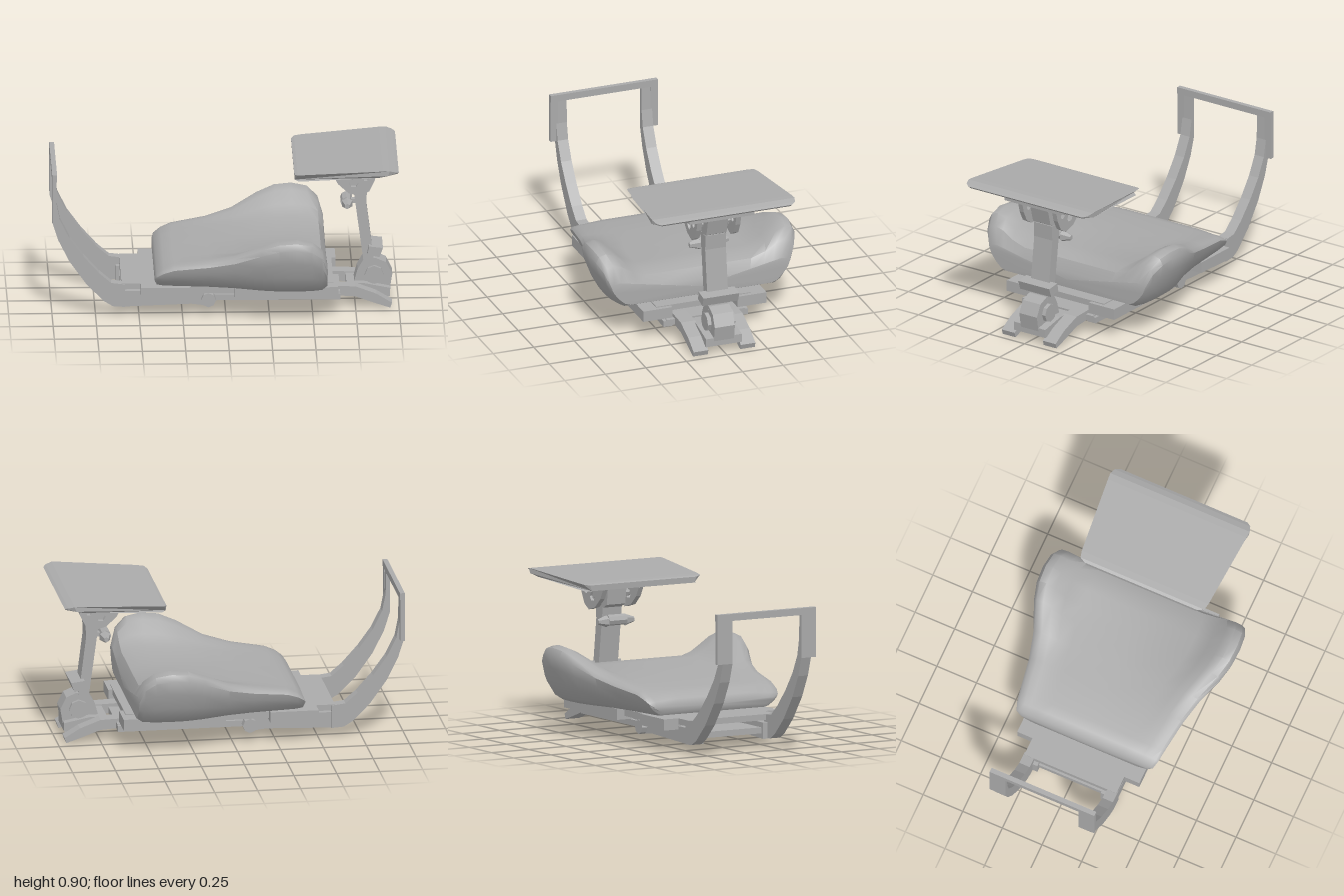
import * as THREE from 'three';
import { toCreasedNormals } from 'three/addons/utils/BufferGeometryUtils.js';

export function createModel() {
  const model = new THREE.Group();
  const grey = new THREE.MeshStandardMaterial({ color: 0xaaaaaa });
  grey.name = 'plain grey';

  const add = (name, geo) => {
    const mesh = new THREE.Mesh(geo, grey);
    mesh.name = name;
    model.add(mesh);
    return mesh;
  };
  // Box given by its limits on each axis
  const box = (name, x0, x1, y0, y1, z0, z1) =>
    add(name, new THREE.BoxGeometry(x1 - x0, y1 - y0, z1 - z0))
      .position.set((x0 + x1) / 2, (y0 + y1) / 2, (z0 + z1) / 2);
  // Side profile (x, y) extruded from z0 to z1
  const slabGeo = (pts, z0, z1, holes = []) => {
    const shape = new THREE.Shape(pts.map(p => new THREE.Vector2(...p)));
    for (const [x, y, r] of holes) shape.holes.push(new THREE.Path().absarc(x, y, r, 0, Math.PI * 2, true));
    return new THREE.ExtrudeGeometry(shape, { depth: z1 - z0, bevelEnabled: false, curveSegments: 3 }).translate(0, 0, z0);
  };
  const slab = (name, pts, z0, z1, holes) => add(name, slabGeo(pts, z0, z1, holes));
  const sides = (make, name, shape, z0, z1, holes) => {
    make('left' + name, ...shape, z0, z1, holes);
    make('right' + name, ...shape, -z1, -z0, holes);
  };
  // Faceted rod along z
  const rod = (name, x, y, r, z0, z1, n = 8) =>
    add(name, toCreasedNormals(new THREE.CylinderGeometry(r, r, z1 - z0, n).rotateX(Math.PI / 2), 0.3))
      .position.set(x, y, (z0 + z1) / 2);

  // Winged cushion: x, half width, bottom, centre height, wing height
  const stations = [
    [-0.41, 0.40, 0.22, 0.265, 0.26], [-0.40, 0.43, 0.205, 0.295, 0.285],
    [-0.36, 0.445, 0.2, 0.325, 0.315], [-0.3, 0.455, 0.2, 0.34, 0.34],
    [-0.1, 0.485, 0.2, 0.36, 0.37], [0.05, 0.525, 0.2, 0.375, 0.41],
    [0.2, 0.59, 0.2, 0.385, 0.485], [0.3, 0.617, 0.2, 0.39, 0.523],
    [0.4, 0.622, 0.2, 0.395, 0.532], [0.49, 0.612, 0.2, 0.395, 0.515],
    [0.55, 0.585, 0.2, 0.375, 0.46], [0.58, 0.55, 0.215, 0.31, 0.36],
  ];
  const section = ([x, w, b, c, h]) => {
    const half = [
      [0.79, b], [0.85, b + (h - b) * 0.08], [0.92, b + (h - b) * 0.32],
      [0.975, b + (h - b) * 0.6], [1, b + (h - b) * 0.85], [0.97, b + (h - b) * 0.96],
      [0.9, h], [0.81, c + (h - c) * 0.82], [0.7, c + (h - c) * 0.35], [0.55, c],
    ];
    const other = half.map(([z, y]) => [-z, y]).reverse();
    return [[0, b], ...half, [0, c], ...other].map(([z, y]) => [x, y, z * w]);
  };
  const rings = stations.map(section);
  const n = rings[0].length;
  const verts = rings.flat();
  const first = verts.push([-0.412, 0.245, 0]) - 1;
  const last = verts.push([0.585, 0.265, 0]) - 1;
  const index = [];
  for (let i = 0; i < n; i++) {
    const j = (i + 1) % n;
    for (let s = 0; s < rings.length - 1; s++) {
      const a = s * n + i, c = s * n + j;
      index.push(a, a + n, c, a + n, c + n, c);
    }
    const e = (rings.length - 1) * n;
    index.push(first, i, j, last, e + j, e + i);
  }
  const cushion = new THREE.BufferGeometry();
  cushion.setAttribute('position', new THREE.Float32BufferAttribute(verts.flat(), 3));
  cushion.setIndex(index);
  add('seatCushion', toCreasedNormals(cushion, 0.75));

  // Seat base: deck, lower pan and side rails
  box('seatDeck', -0.6, 0.62, 0.16, 0.195, -0.29, 0.29);
  box('lowerPan', -0.6, 0.66, 0.085, 0.12, -0.24, 0.24);
  sides(box, 'RearBlock', [-0.49, -0.21, 0.13, 0.195], 0.27, 0.385);
  sides(box, 'MiddleRail', [-0.21, 0.05, 0.145, 0.185], 0.2, 0.33);
  sides(box, 'FrontRail', [0.05, 0.645, 0.125, 0.19], 0.2, 0.38);
  sides(slab, 'LowerRail', [[[-0.62, 0.055], [-0.2, 0.07], [-0.12, 0.06], [-0.07, 0.08], [-0.07, 0.13], [-0.2, 0.15], [-0.62, 0.15]]], 0.2, 0.29);
  sides(rod, 'AdjusterKnob', [-0.1, 0.1, 0.042], 0.27, 0.325);
  sides(box, 'LowerStrip', [-0.07, 0.66, 0.08, 0.115], 0.2, 0.26);

  // Curved rear frame
  sides(slab, 'RearArm', [[
    [-1, 0.85], [-1, 0.57], [-0.965, 0.46], [-0.9, 0.33], [-0.8, 0.19], [-0.7, 0.09], [-0.65, 0.06], [-0.58, 0.055],
    [-0.58, 0.19], [-0.66, 0.2], [-0.73, 0.26], [-0.82, 0.36], [-0.9, 0.47], [-0.955, 0.58], [-0.975, 0.68], [-0.98, 0.85],
  ]], 0.23, 0.295);
  sides(box, 'RearPlate', [-1, -0.975, 0.57, 0.86], 0.285, 0.33);
  box('rearTopBar', -1, -0.972, 0.82, 0.86, -0.33, 0.33);

  // Forked front foot
  sides(slab, 'FootProng', [[[0.6, 0.085], [0.75, 0.075], [0.86, 0.035], [0.95, 0.005], [0.96, 0.035], [0.87, 0.09], [0.75, 0.135], [0.6, 0.14]]], 0.1, 0.19);
  slab('footBridge', [[0.7, 0.08], [0.85, 0.055], [0.95, 0.05], [0.95, 0.1], [0.8, 0.13], [0.7, 0.13]], -0.11, 0.11);

  // Hinge, column and clamp
  slab('columnHinge', [[0.74, 0.11], [0.95, 0.08], [0.965, 0.17], [0.93, 0.24], [0.87, 0.265], [0.8, 0.26], [0.765, 0.2]], -0.062, 0.062);
  rod('hingePin', 0.86, 0.17, 0.055, -0.085, 0.085);
  slab('column', [[0.8, 0.24], [0.86, 0.24], [0.815, 0.6], [0.82, 0.69], [0.74, 0.69], [0.752, 0.6]], -0.064, 0.064);
  slab('clamp', [[0.82, 0.3], [0.89, 0.285], [0.91, 0.34], [0.83, 0.35]], -0.11, 0.11);
  box('tiltLever', 0.69, 0.76, 0.585, 0.61, -0.02, 0.02);
  rod('tiltKnob', 0.7, 0.6, 0.032, -0.06, 0.06);
  for (const s of [-1, 1]) {
    const tip = add(s > 0 ? 'leftKnobTip' : 'rightKnobTip',
      toCreasedNormals(new THREE.CylinderGeometry(0.015, 0.035, 0.06, 6).rotateX(s * Math.PI / 2), 0.3));
    tip.position.set(0.705, 0.595, s * 0.09);
  }

  // Tilting head under the tray
  slab('headBlock', [[0.7, 0.69], [0.76, 0.66], [0.83, 0.7], [0.87, 0.85], [0.68, 0.84]], -0.062, 0.062);
  sides(slab, 'HeadBracket', [[[0.62, 0.79], [0.65, 0.735], [0.71, 0.68], [0.78, 0.66], [0.83, 0.69], [0.86, 0.75], [0.89, 0.86], [0.66, 0.845]]], 0.105, 0.135,
    [[0.74, 0.74, 0.028], [0.81, 0.77, 0.02]]);
  rod('headPin', 0.76, 0.75, 0.026, -0.12, 0.12);
  box('trayMount', 0.64, 0.92, 0.825, 0.85, -0.2, 0.2);

  // Tray: bent profile, its width varying along x and narrowing underneath
  const tray = slabGeo([
    [0.395, 0.828], [0.42, 0.825], [0.88, 0.857], [0.93, 0.875], [0.985, 0.875], [0.993, 0.885],
    [0.975, 0.893], [0.94, 0.903], [0.9, 0.902], [0.45, 0.872], [0.41, 0.868], [0.393, 0.862],
  ], -1, 1);
  const widths = [[0.39, 0.35], [0.41, 0.39], [0.46, 0.402], [0.9, 0.437], [0.95, 0.44], [0.98, 0.425], [1, 0.39]];
  const halfWidth = x => {
    const k = widths.findIndex(p => p[0] >= x);
    const [a, b] = [widths[k - 1], widths[k]];
    return a[1] + (b[1] - a[1]) * (x - a[0]) / (b[0] - a[0]);
  };
  const p = tray.attributes.position;
  for (let i = 0; i < p.count; i++) {
    const under = p.getY(i) < 0.84 + (p.getX(i) - 0.39) * 0.06;
    p.setZ(i, p.getZ(i) * halfWidth(p.getX(i)) * (under ? 0.95 : 1));
  }
  tray.computeVertexNormals();
  add('tray', tray);

  return model;
}
